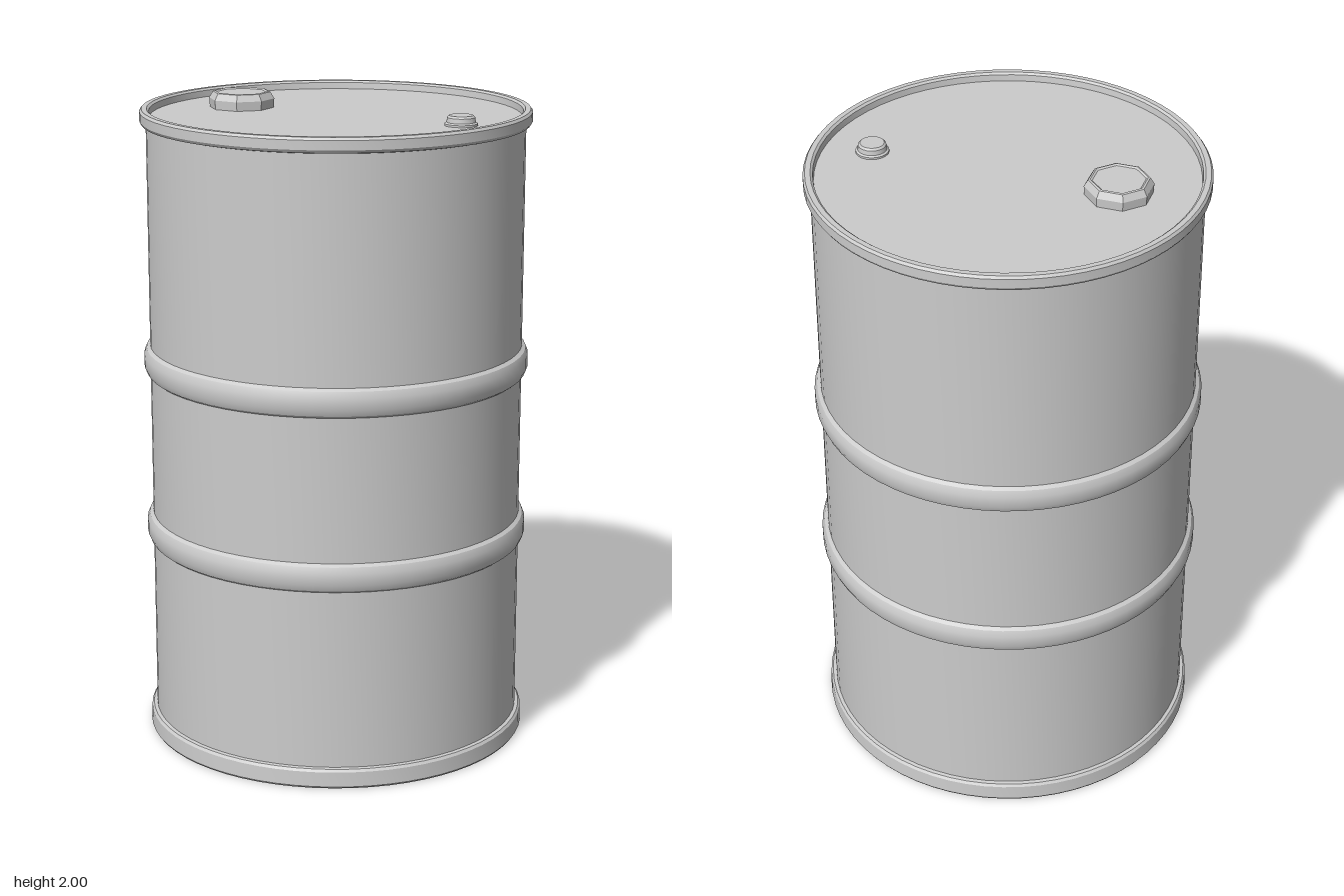
import * as THREE from 'three';
import { toCreasedNormals } from 'three/addons/utils/BufferGeometryUtils.js';

export function createModel() {
  const group = new THREE.Group();
  group.name = 'steelDrum';
  const steel = new THREE.MeshStandardMaterial({ color: 0xcccccc });
  steel.name = 'lightGreySteel';

  // Revolve a [radius, height] profile, listed from bottom centre to top
  const turn = (name, profile, sides, crease = 0.5) => {
    const points = profile.map(([r, y]) => new THREE.Vector2(r, y));
    const mesh = new THREE.Mesh(toCreasedNormals(new THREE.LatheGeometry(points, sides), crease), steel);
    mesh.name = name;
    group.add(mesh);
    return mesh;
  };

  // Rolling hoop cross-section around height y
  const hoop = (y) => [
    [0.577, y - 0.045], [0.588, y - 0.037], [0.596, y - 0.018],
    [0.596, y + 0.018], [0.588, y + 0.037], [0.577, y + 0.045],
  ];

  // Closed shell: base, bottom chime, two hoops, top chime and recessed lid
  turn('drumBody', [
    [0, 0], [0.592, 0], [0.596, 0.006], [0.594, 0.052], [0.588, 0.06], [0.577, 0.062],
    ...hoop(0.665),
    ...hoop(1.2),
    [0.577, 1.928], [0.59, 1.931], [0.596, 1.94], [0.596, 1.968], [0.59, 1.976],
    [0.574, 1.976], [0.567, 1.97], [0.565, 1.95], [0, 1.95],
  ], 64);

  // Octagonal filler cap, flats facing the axes, with a shallow dished top
  const cap = turn('fillerCap', [
    [0.1, 1.949], [0.102, 1.978], [0.09, 1.998], [0.084, 2], [0.078, 1.996], [0, 1.996],
  ], 8, 0.3);
  cap.rotation.y = Math.PI / 8;
  cap.position.set(-0.337, 0, -0.004);

  // Small round vent plug on a low collar
  const plug = turn('ventPlug', [
    [0.05, 1.949], [0.05, 1.956], [0.044, 1.96], [0.042, 1.974], [0.036, 1.98], [0, 1.98],
  ], 20);
  plug.position.set(0.421, 0, -0.004);

  return group;
}
